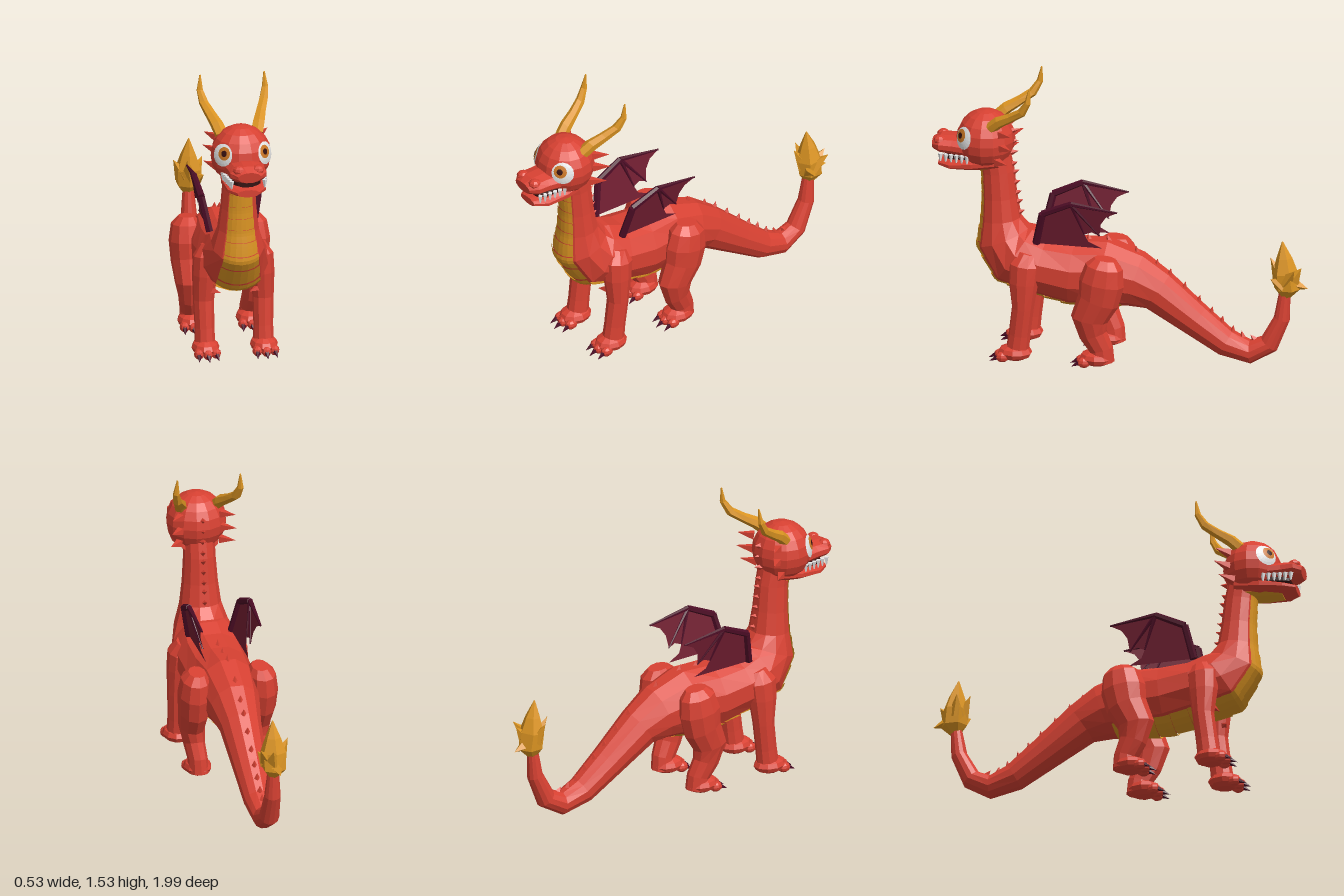
import * as THREE from 'three';

const mat = (name, color, open) => {
  const m = new THREE.MeshStandardMaterial({ color });
  if (open) m.side = THREE.DoubleSide;
  m.name = name;
  return m;
};
const V = (x, y, z) => new THREE.Vector3(x, y, z);

export function createModel() {
  const red = mat('red scales', 0xd84132), ochre = mat('ochre belly and horn', 0xdb9422, true);
  const maroon = mat('dark maroon claw', 0x4c0c25), wingSkin = mat('wing skin', 0x701d30, true);
  const white = mat('white', 0xe8e8e8), amber = mat('amber iris', 0xcc7826), dark = mat('dark pupil', 0x35100f);
  const model = new THREE.Group();

  // Faceted mesh
  function add(name, geo, material) {
    const g = geo.index ? geo.toNonIndexed() : geo;
    g.computeVertexNormals();
    const mesh = new THREE.Mesh(g, material);
    mesh.name = name;
    model.add(mesh);
    return mesh;
  }

  // Centre, across-normal and radii at position t along sections [z, y, rx, rn, x]
  function frame(secs, i) {
    const a = secs[Math.max(0, i - 1)], b = secs[Math.min(secs.length - 1, i + 1)], s = secs[i];
    return { c: V(s[4] || 0, s[1], s[0]), n: V(0, b[0] - a[0], a[1] - b[1]).normalize(), rx: s[2], rn: s[3] };
  }
  function at(secs, t) {
    const i = Math.min(secs.length - 2, Math.floor(t)), k = t - i, a = frame(secs, i), b = frame(secs, i + 1);
    return {
      c: a.c.lerp(b.c, k), n: a.n.lerp(b.n, k),
      rx: a.rx + (b.rx - a.rx) * k, rn: a.rn + (b.rn - a.rn) * k,
    };
  }
  const ringPoint = (f, ang, k = 1) =>
    f.c.clone().addScaledVector(f.n, Math.sin(ang) * f.rn * k).add(V(Math.cos(ang) * f.rx * k, 0, 0));

  function mesh3(points, index) {
    const g = new THREE.BufferGeometry().setFromPoints(points);
    g.setIndex(index);
    return g;
  }
  // Closed tube with elliptical rings
  function loft(name, secs, material, sides = 10) {
    const pts = [], idx = [], n = secs.length;
    for (let i = 0; i < n; i++) {
      const f = frame(secs, i);
      for (let j = 0; j < sides; j++) pts.push(ringPoint(f, ((j + 0.5) / sides) * Math.PI * 2));
    }
    pts.push(frame(secs, 0).c, frame(secs, n - 1).c);
    for (let j = 0; j < sides; j++) {
      const k = (j + 1) % sides, last = (n - 1) * sides;
      for (let i = 0; i < n - 1; i++) {
        const a = i * sides + j, b = i * sides + k;
        idx.push(a, b, b + sides, a, b + sides, a + sides);
      }
      idx.push(n * sides, k, j, n * sides + 1, last + j, last + k);
    }
    return add(name, mesh3(pts, idx), material);
  }
  // Tapered rod or spike from a to b
  function rod(name, a, b, r1, r2, material, sides = 5) {
    const d = b.clone().sub(a);
    const m = add(name, new THREE.CylinderGeometry(r2, r1, d.length(), sides), material);
    m.position.copy(a).addScaledVector(d, 0.5);
    m.quaternion.setFromUnitVectors(V(0, 1, 0), d.normalize());
    return m;
  }
  function ball(name, p, r, material, w = 10, h = 7) {
    const m = add(name, new THREE.SphereGeometry(1, w, h), material);
    m.position.copy(p);
    m.scale.copy(r);
    return m;
  }

  // Tail, torso and neck in one sweep
  const body = [
    [-.873, .43, .03, .03], [-.857, .28, .043, .043], [-.79, .135, .053, .055], [-.69, .082, .062, .064],
    [-.56, .125, .076, .076], [-.4, .24, .09, .092], [-.2, .39, .11, .117], [-.08, .445, .135, .152],
    [.08, .475, .16, .187], [.25, .475, .18, .182], [.42, .505, .185, .168], [.56, .55, .175, .18],
    [.625, .64, .14, .152], [.638, .74, .11, .106], [.645, .86, .095, .092], [.655, 1, .085, .087], [.67, 1.1, .085, .08],
  ];
  loft('body', body, red, 12);

  // Overlapping belly plates from loins to throat
  const plates = 17, t0 = 7.2, t1 = 15.7, arc = 6;
  for (let p = 0; p < plates; p++) {
    const pts = [], idx = [], rows = 4;
    for (let r = 0; r <= rows; r++) {
      const f = at(body, t0 + ((p + r / rows) / plates) * (t1 - t0));
      for (let j = 0; j <= arc; j++) {
        const ang = -Math.PI / 2 + (j / arc - 0.5) * 1.42;
        pts.push(ringPoint(f, ang, 1.015 + 0.04 * r / rows));
      }
    }
    for (let r = 0; r < rows; r++) for (let j = 0; j < arc; j++) {
      const a = r * (arc + 1) + j, b = a + arc + 1;
      idx.push(a, a + 1, b + 1, a, b + 1, b);
    }
    add('bellyPlate', mesh3(pts, idx), ochre);
  }

  // Small spines along tail, back and neck
  for (const t of [2.6, 3.4, 4, 4.4, 4.8, 5.2, 5.6, 6, 6.5, 7.2, 8, 8.6, 9.2, 13.2, 13.7, 14.1, 14.5, 14.9, 15.3]) {
    const f = at(body, t), top = ringPoint(f, Math.PI / 2, 0.92), lean = V(0, f.n.z, -f.n.y);
    rod('spine', top, top.clone().addScaledVector(f.n, 0.035).addScaledVector(lean, -0.012), 0.017, 0, red, 4);
  }

  // Flame-shaped tail tip
  loft('tailTip', [[-.873, .4, .025, .025], [-.885, .45, .065, .07], [-.875, .54, .07, .068],
    [-.87, .62, .042, .042], [-.86, .71, .003, .003]], ochre, 6);
  for (const [a, b] of [
    [[0, .48, -.9], [-.01, .45, -.995]], [[.01, .5, -.91], [.02, .575, -.965]], [[0, .5, -.85], [-.02, .61, -.792]],
    [[.03, .5, -.88], [.085, .58, -.94]], [[-.03, .5, -.87], [-.085, .6, -.85]], [[.03, .48, -.86], [.07, .52, -.81]],
  ]) rod('tailTipSpike', V(...a), V(...b), 0.045, 0, ochre, 4);

  // Head, muzzle and jaw
  const headC = V(0, 1.175, .72), headR = V(.16, .16, .155);
  ball('head', headC, headR, red, 14, 10);
  loft('muzzle', [[.76, 1.13, .115, .055], [.89, 1.137, .1, .052], [.955, 1.14, .1, .047], [.995, 1.135, .062, .03]], red, 12);
  loft('jaw', [[.64, 1.07, .1, .05], [.78, 1.05, .118, .042], [.9, 1.037, .105, .03], [.963, 1.037, .06, .02]], red, 12);
  loft('chin', [[.68, 1.035, .075, .03], [.8, 1.028, .08, .026], [.89, 1.024, .06, .022]], ochre, 10);
  loft('mouthInside', [[.74, 1.09, .1, .03], [.9, 1.08, .08, .025], [.93, 1.08, .06, .02]], dark, 8);
  for (const y of [1.225, 1.165, 1.105]) rod('headSpine', V(0, y, .585), V(0, y + .01, .545), .018, 0, red, 4);

  // Curved patch lying on the head
  function eyePatch(name, dir, size, k, material) {
    const d = dir.clone().normalize(), u = V(0, 1, 0).cross(d).normalize(), v = d.clone().cross(u);
    const g = new THREE.RingGeometry(0, size, 16, 4), p = g.attributes.position;
    for (let i = 0; i < p.count; i++) {
      const q = d.clone().addScaledVector(u, p.getX(i)).addScaledVector(v, p.getY(i)).normalize();
      q.multiply(headR).multiplyScalar(k).add(headC);
      p.setXYZ(i, q.x, q.y, q.z);
    }
    add(name, g, material);
  }

  const wingX = (s, y) => s * (.115 + .2 * (y - .65));
  const wingPoint = (s, [z, y]) => V(wingX(s, y), y, z);

  for (const s of [1, -1]) {
    eyePatch('eyeWhite', V(s * .76, .22, .68), .4, 1.025, white);
    eyePatch('iris', V(s * .68, .28, .72), .22, 1.04, amber);
    eyePatch('pupil', V(s * .67, .28, .73), .1, 1.055, dark);
    ball('nostril', V(s * .05, 1.165, .955), V(.034, .026, .034), red, 8, 6);

    // Teeth along the lip
    for (let i = 0; i < 6; i++) {
      const z = .8 + i * .029, x = s * (.108 - i * .004);
      rod('tooth', V(x, 1.105, z), V(x, 1.062, z), .014, .004, white, 4);
    }

    // Cheek spikes
    for (const [y, z, len] of [[1.24, .62, .055], [1.165, .615, .06], [1.085, .64, .06]])
      rod('cheekSpike', V(s * .11, y, z), V(s * (.115 + len), y + .012, z - .065), .026, 0, red, 4);

    // Curved horns
    loft('horn', [[.68, 1.265, .036, .032, s * .092], [.63, 1.31, .036, .032, s * .11], [.565, 1.347, .03, .026, s * .133],
      [.5, 1.39, .026, .024, s * .158], [.465, 1.45, .018, .017, s * .173], [.455, 1.53, .004, .004, s * .17]], ochre, 6);

    // Wings: scalloped skin on jointed spars
    const edge = [[.43, .65], [.39, .83], [.235, .9], [-.01, .865], [.05, .835], [.08, .79], [.09, .72],
      [.13, .738], [.17, .722], [.15, .68], [.08, .645]];
    const skin = new THREE.ShapeGeometry(new THREE.Shape(edge.map(([z, y]) => new THREE.Vector2(z, y))));
    const p = skin.attributes.position;
    for (let i = 0; i < p.count; i++) p.setXYZ(i, wingX(s, p.getY(i)), p.getY(i), p.getX(i));
    add('wingSkin', skin, wingSkin);
    for (const [a, b, r1, r2] of [[0, 1, .02, .019], [1, 2, .019, .016], [2, 3, .014, .005], [2, 6, .012, .004], [2, 8, .012, .004]])
      rod('wingSpar', wingPoint(s, edge[a]), wingPoint(s, edge[b]), r1, r2, maroon, 6);

    // Legs
    loft('frontLeg', [[.47, .6, .04, .05, s * .13], [.485, .54, .068, .085, s * .145], [.49, .44, .066, .078, s * .152],
      [.492, .3, .056, .058, s * .158], [.51, .15, .052, .058, s * .156], [.525, .03, .056, .062, s * .155]], red, 10);
    loft('hindLeg', [[.05, .61, .045, .06, s * .17], [.055, .57, .075, .1, s * .178], [.068, .48, .085, .12, s * .182],
      [.085, .38, .08, .11, s * .18], [.135, .27, .068, .098, s * .178], [.115, .18, .056, .076, s * .17],
      [.075, .1, .052, .066, s * .16], [.07, .03, .056, .066, s * .156]], red, 10);

    // Feet with three toes and claws
    for (const [name, z] of [['frontFoot', .535], ['hindFoot', .1]]) {
      ball(name, V(s * .155, .05, z), V(.074, .045, .092), red, 10, 6);
      for (const k of [-1, 0, 1]) {
        const x = s * .155 + k * .045, tz = z + .075 - Math.abs(k) * .015;
        ball('toe', V(x, .032, tz), V(.027, .028, .036), red, 8, 6);
        rod('claw', V(x, .034, tz + .015), V(x + k * .008, .008, tz + .066), .018, 0, maroon, 5);
      }
    }
    // Elbow thorn
    rod('elbowThorn', V(s * .125, .36, .53), V(s * .075, .35, .56), .022, 0, red, 4);
  }
  return model;
}
